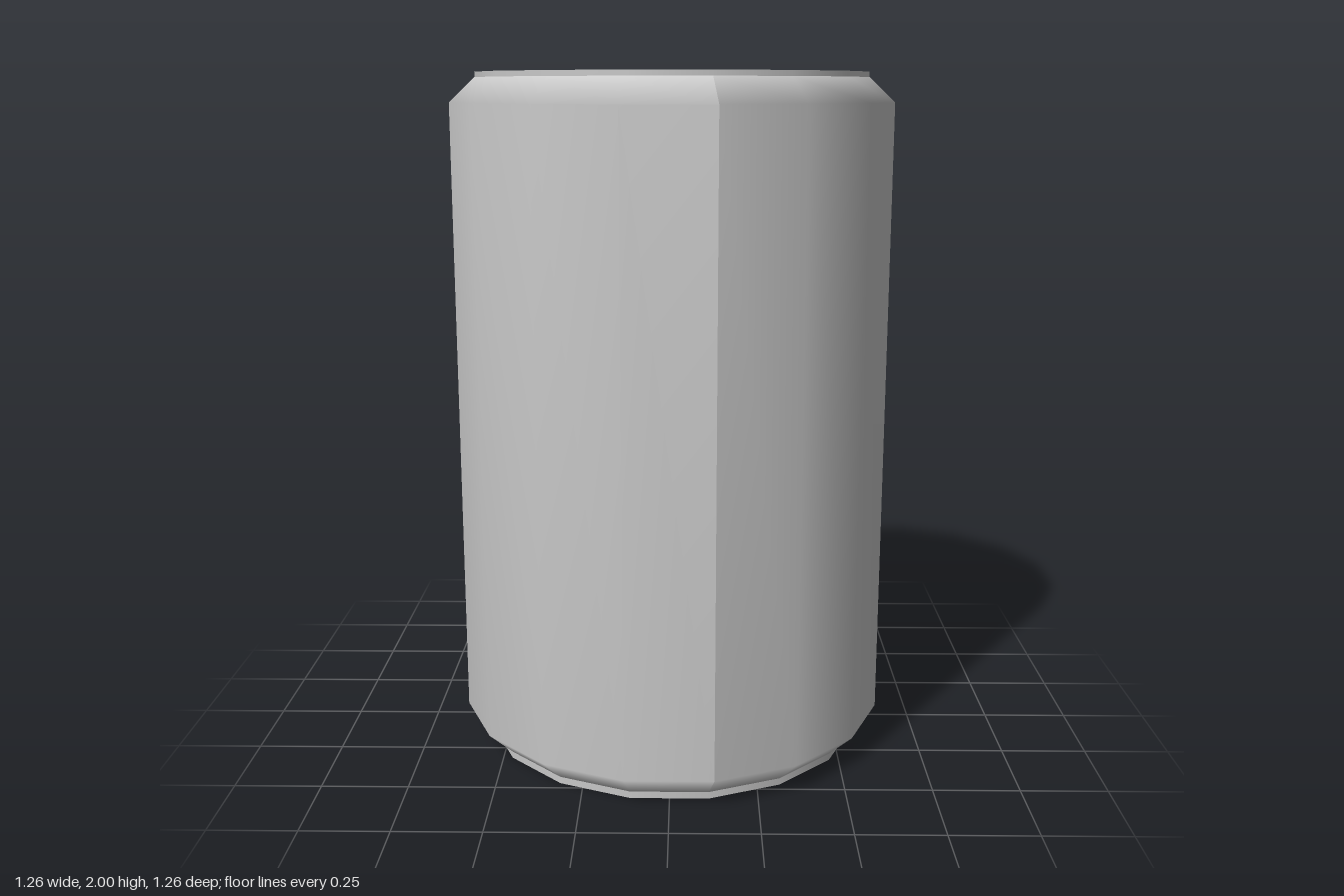
import * as THREE from 'three';

const SIDES = 16;
const START = Math.PI / SIDES; // turns flat sides towards the axes
const BODY_R = 0.642, RIM_R = 0.568, LID_R = 0.514;
const LID_DEPTH = 0.025;

// Smooth surface of revolution through [radius, height] points, rising outside
function lathe(points, start = START, length = Math.PI * 2, sides = SIDES) {
  const geometry = new THREE.LatheGeometry(points.map(([r, y]) => new THREE.Vector2(r, y)), sides, start, length);
  if (length < Math.PI * 2) geometry.computeVertexNormals();
  return geometry;
}

export function createModel() {
  const model = new THREE.Group();
  model.name = 'can';
  const metal = new THREE.MeshStandardMaterial({ color: 0xc8c8c8 });
  metal.name = 'grey metal';

  const add = (name, geometry, parent = model) => {
    const mesh = new THREE.Mesh(geometry, metal);
    mesh.name = name;
    parent.add(mesh);
  };

  // Body with sloped shoulders, in four panels that meet at fine seams
  const body = new THREE.Group();
  body.name = 'body';
  model.add(body);
  const profile = [[RIM_R, 0.02], [BODY_R, 0.09], [BODY_R, 1.915], [RIM_R, 1.985]];
  for (let i = 0; i < 4; i++) {
    add('bodyPanel', lathe(profile, START + i * Math.PI / 2, Math.PI / 2, SIDES / 4), body);
  }

  // Raised rims around the recessed ends; each band has crisp edges
  const ends = {
    bottom: [[0, LID_DEPTH], [LID_R, LID_DEPTH], [LID_R, 0], [RIM_R, 0], [RIM_R, 0.02]],
    top: [[RIM_R, 1.985], [RIM_R, 2], [LID_R, 2], [LID_R, 2 - LID_DEPTH], [0, 2 - LID_DEPTH]],
  };
  const bands = {
    bottom: ['Lid', 'RecessWall', 'Rim', 'RimSide'],
    top: ['RimSide', 'Rim', 'RecessWall', 'Lid'],
  };
  for (const end of ['bottom', 'top']) {
    bands[end].forEach((band, i) => add(end + band, lathe(ends[end].slice(i, i + 2))));
  }
  return model;
}
